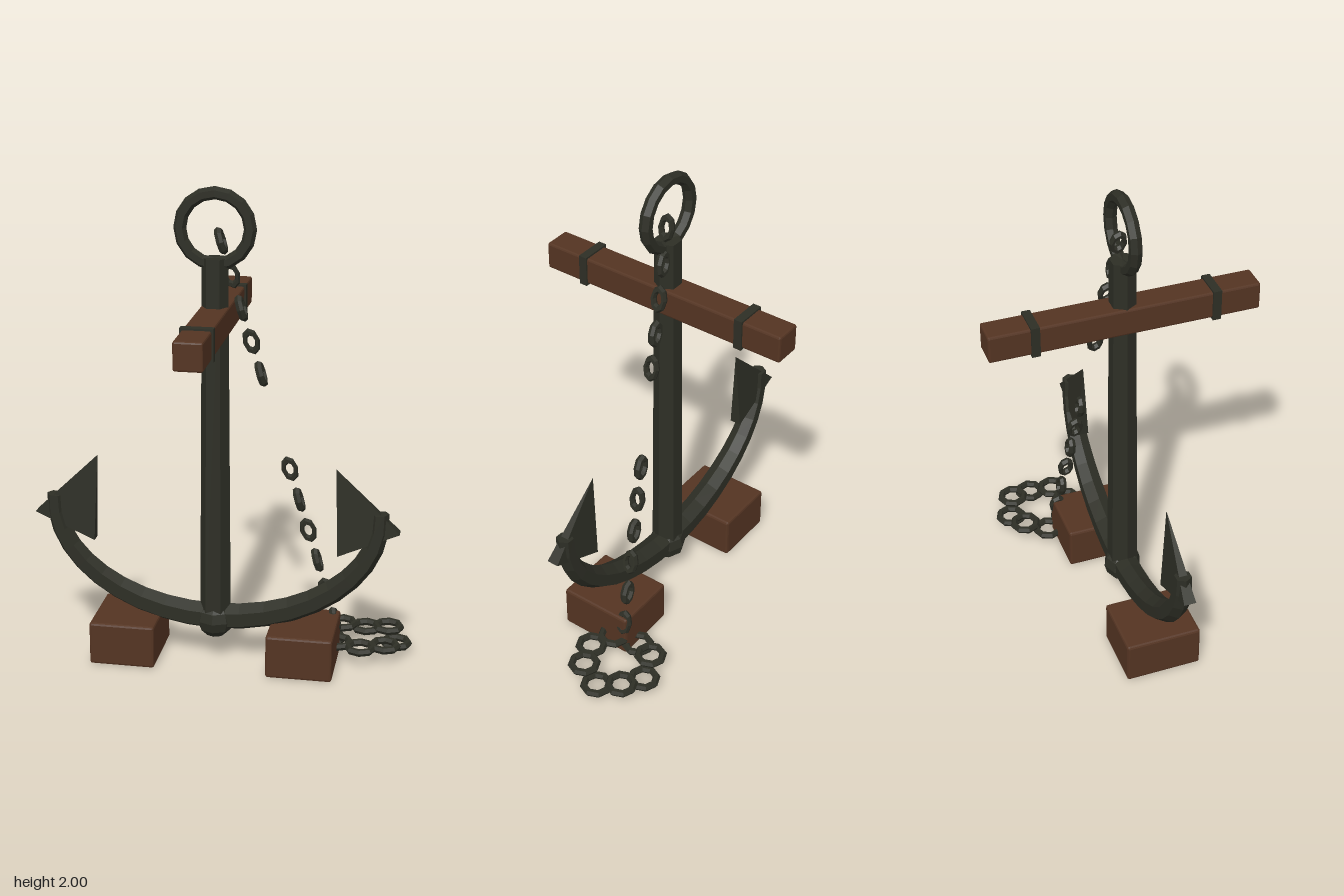
import * as THREE from 'three';
import { RoundedBoxGeometry } from 'three/addons/geometries/RoundedBoxGeometry.js';

const iron = new THREE.MeshStandardMaterial({ color: 0x2d2e25, flatShading: true });
iron.name = 'dark iron';
const wood = new THREE.MeshStandardMaterial({ color: 0x543422, flatShading: true });
wood.name = 'brown wood';

function add(parent, name, geometry, material, x = 0, y = 0, z = 0) {
  const mesh = new THREE.Mesh(geometry, material);
  mesh.name = name;
  mesh.position.set(x, y, z);
  parent.add(mesh);
  return mesh;
}

// Tapered six-sided sweep along the lower half of an ellipse, closed at both ends
function armsGeometry() {
  const steps = 20, sides = 6, pos = [], index = [];
  for (let i = -1; i <= steps + 1; i++) {
    const k = Math.min(Math.max(i, 0), steps) / steps;
    const t = Math.PI * (0.985 + 1.03 * k);
    const c = Math.cos(t), s = Math.sin(t);
    const n = new THREE.Vector2(c / 0.68, s / 0.48).normalize();
    const r = i < 0 || i > steps ? 0 : 0.058 - 0.023 * Math.abs(2 * k - 1) ** 1.5;
    for (let j = 0; j < sides; j++) {
      const a = (j / sides) * Math.PI * 2, u = r * Math.cos(a);
      pos.push(0.68 * c + u * n.x, 0.67 + 0.48 * s + u * n.y, r * Math.sin(a));
    }
  }
  for (let i = 0; i < steps + 2; i++) {
    for (let j = 0; j < sides; j++) {
      const a = i * sides + j, b = i * sides + ((j + 1) % sides);
      index.push(a, a + sides, b, b, a + sides, b + sides);
    }
  }
  const g = new THREE.BufferGeometry();
  g.setAttribute('position', new THREE.Float32BufferAttribute(pos, 3));
  g.setIndex(index);
  g.computeVertexNormals();
  return g;
}

export function createModel() {
  const model = new THREE.Group();
  model.name = 'anchor';

  const body = new THREE.Group();
  body.name = 'anchorBody';
  body.position.x = -0.03;
  model.add(body);

  // Shank, ring and crown
  const shank = new THREE.CylinderGeometry(0.053, 0.065, 1.54, 6).rotateY(Math.PI / 6);
  add(body, 'shank', shank, iron, 0, 0.95, 0);
  add(body, 'ring', new THREE.TorusGeometry(0.14, 0.026, 6, 16), iron, 0, 1.835, 0);
  add(body, 'crown', new THREE.SphereGeometry(0.081, 8, 6), iron, 0, 0.18, 0);

  // Curved arms with flattened pyramid flukes
  add(body, 'arms', armsGeometry(), iron);
  for (const side of [-1, 1]) {
    const cone = new THREE.ConeGeometry(0.194, 0.343, 4).rotateY(Math.PI / 4).scale(1, 1, 0.18);
    const fluke = add(body, side > 0 ? 'leftFluke' : 'rightFluke', cone, iron, side * 0.565, 0.7165, 0);
    fluke.rotation.z = side * 0.42;
  }

  // Wooden stock with iron bands
  add(body, 'stock', new RoundedBoxGeometry(0.115, 0.115, 1.11, 1, 0.008), wood, 0, 1.467, 0);
  for (const z of [-0.37, 0.37]) {
    add(body, 'stockBand', new THREE.BoxGeometry(0.13, 0.13, 0.035), iron, 0, 1.467, z);
  }

  // Supporting blocks
  for (const x of [-0.4, 0.343]) {
    add(model, 'supportBlock', new RoundedBoxGeometry(0.275, 0.185, 0.32, 1, 0.01), wood, x, 0.0925, 0);
  }

  // Hanging chain: alternate links turned a quarter, with a gap in the middle
  const chain = new THREE.Group();
  chain.name = 'hangingChain';
  model.add(chain);
  const hangLink = new THREE.TorusGeometry(0.041, 0.016, 6, 8).scale(0.62, 1, 1);
  const step = new THREE.Vector3(0.039, -0.136, -0.0106);
  const tilt = new THREE.Quaternion().setFromUnitVectors(
    new THREE.Vector3(0, -1, 0), step.clone().normalize());
  const up = new THREE.Vector3(0, 1, 0);
  for (let i = 0; i < 13; i++) {
    if (i === 5 || i === 6) continue;
    const link = add(chain, 'chainLink', hangLink, iron,
      -0.008 + step.x * i, 1.785 + step.y * i, -0.01 + step.z * i);
    const turn = new THREE.Quaternion().setFromAxisAngle(up, i % 2 ? 0 : Math.PI / 2);
    link.quaternion.copy(tilt).multiply(turn);
  }

  // Chain lying in a circle on the ground
  const coil = new THREE.Group();
  coil.name = 'coiledChain';
  model.add(coil);
  const flatLink = new THREE.TorusGeometry(0.053, 0.016, 6, 8).rotateX(Math.PI / 2);
  for (let i = 0; i < 8; i++) {
    const a = (i / 8) * Math.PI * 2;
    const high = i % 2 === 1 || i === 6;
    add(coil, 'coilLink', flatLink, iron,
      0.577 + 0.14 * Math.cos(a), high ? 0.067 : 0.04, -0.19 - 0.135 * Math.sin(a));
  }
  return model;
}
